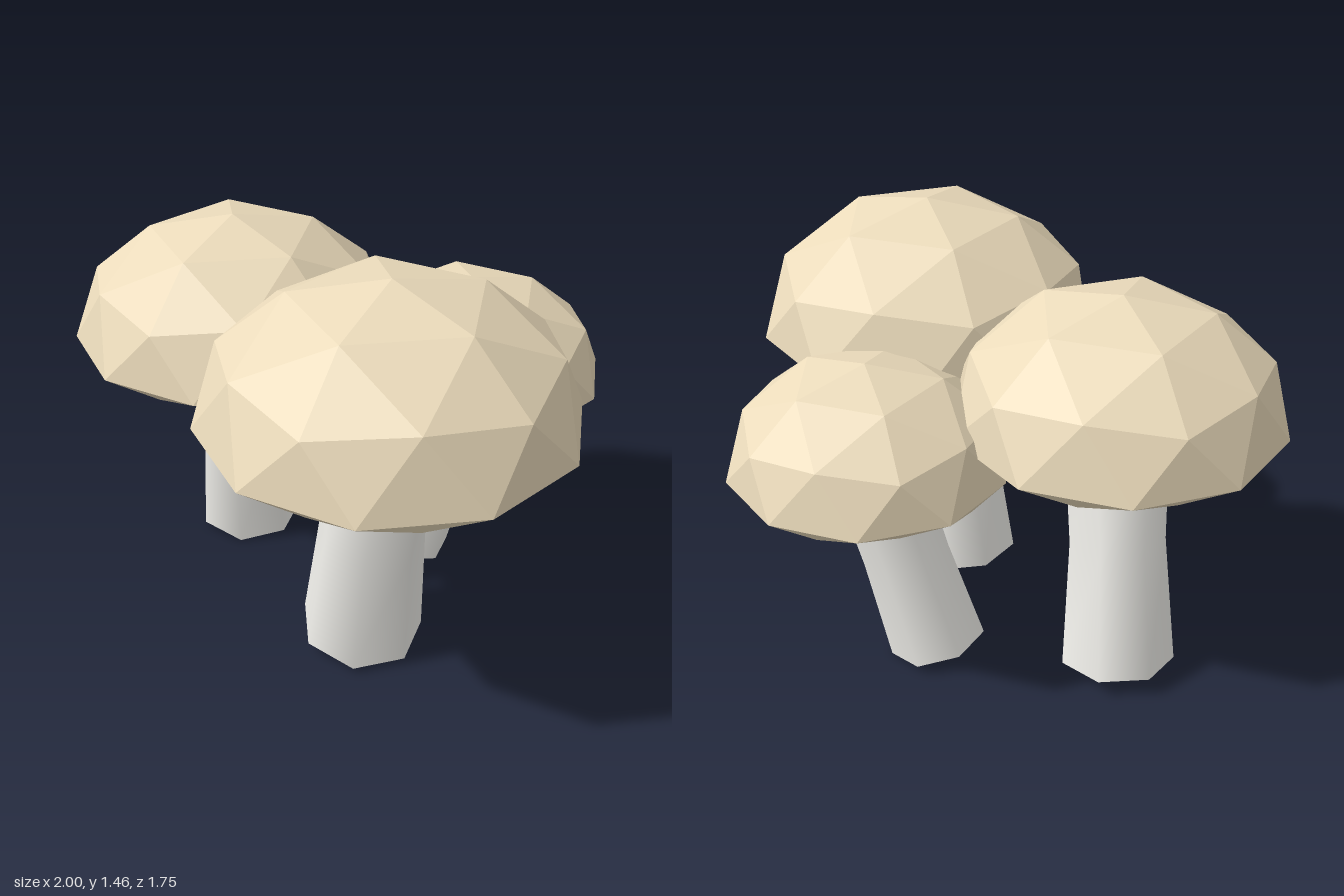
import * as THREE from 'three';
import { mergeVertices } from 'three/addons/utils/BufferGeometryUtils.js';

const capMaterial = new THREE.MeshStandardMaterial({ color: 0xebdbbb, flatShading: true });
const stemMaterial = new THREE.MeshStandardMaterial({ color: 0xf5f4ef, side: THREE.DoubleSide });

// Faceted dome: an icosphere standing on a vertex, with its lower half squashed nearly flat
function makeCap(radius, [x, y, z]) {
  const geometry = new THREE.IcosahedronGeometry(1, 1);
  geometry.rotateZ(-Math.atan(2 / (1 + Math.sqrt(5))));
  const p = geometry.attributes.position;
  for (let i = 0; i < p.count; i++) {
    const h = p.getY(i);
    p.setY(i, h * (h > 0 ? 0.75 : 0.185));
  }
  geometry.scale(radius, radius, radius);
  geometry.computeVertexNormals();
  const mesh = new THREE.Mesh(geometry, capMaterial);
  mesh.name = 'cap';
  mesh.position.set(x, y, z);
  return mesh;
}

// Open, bent seven-sided tube through three rings [x, y, z, radius], each tilted with the lean of the foot
function makeStem(rings) {
  const geometry = new THREE.CylinderGeometry(1, 1, 2, 7, 2, true, Math.PI / 2);
  geometry.deleteAttribute('uv');
  geometry.deleteAttribute('normal');
  const [foot, middle] = rings;
  const rise = middle[1] - foot[1];
  const leanX = (middle[0] - foot[0]) / rise;
  const leanZ = (middle[2] - foot[2]) / rise;
  const p = geometry.attributes.position;
  for (let i = 0; i < p.count; i++) {
    const [x, y, z, r] = rings[Math.round(p.getY(i)) + 1];
    const dx = p.getX(i) * r, dz = p.getZ(i) * r;
    p.setXYZ(i, x + dx, y - dx * leanX - dz * leanZ, z + dz);
  }
  const smooth = mergeVertices(geometry);
  smooth.computeVertexNormals();
  const mesh = new THREE.Mesh(smooth, stemMaterial);
  mesh.name = 'stem';
  return mesh;
}

const mushrooms = [
  {
    name: 'largeMushroom', radius: 0.61, cap: [0.42, 1.0, 0.265],
    stem: [[0.257, 0.047, 0.228, 0.215], [0.32, 0.5, 0.242, 0.182], [0.402, 0.95, 0.25, 0.191]],
  },
  {
    name: 'mediumMushroom', radius: 0.57, cap: [-0.457, 0.94, 0.15],
    stem: [[-0.588, 0.041, 0.033, 0.203], [-0.523, 0.5, 0.09, 0.169], [-0.471, 0.89, 0.13, 0.179]],
  },
  {
    name: 'smallMushroom', radius: 0.476, cap: [0.16, 0.806, -0.395],
    stem: [[-0.02, 0.047, -0.277, 0.17], [0.078, 0.42, -0.32, 0.15], [0.138, 0.77, -0.382, 0.15]],
  },
];

export function createModel() {
  const model = new THREE.Group();
  model.name = 'mushroomCluster';
  for (const { name, radius, cap, stem } of mushrooms) {
    const mushroom = new THREE.Group();
    mushroom.name = name;
    mushroom.add(makeCap(radius, cap), makeStem(stem));
    model.add(mushroom);
  }
  return model;
}
